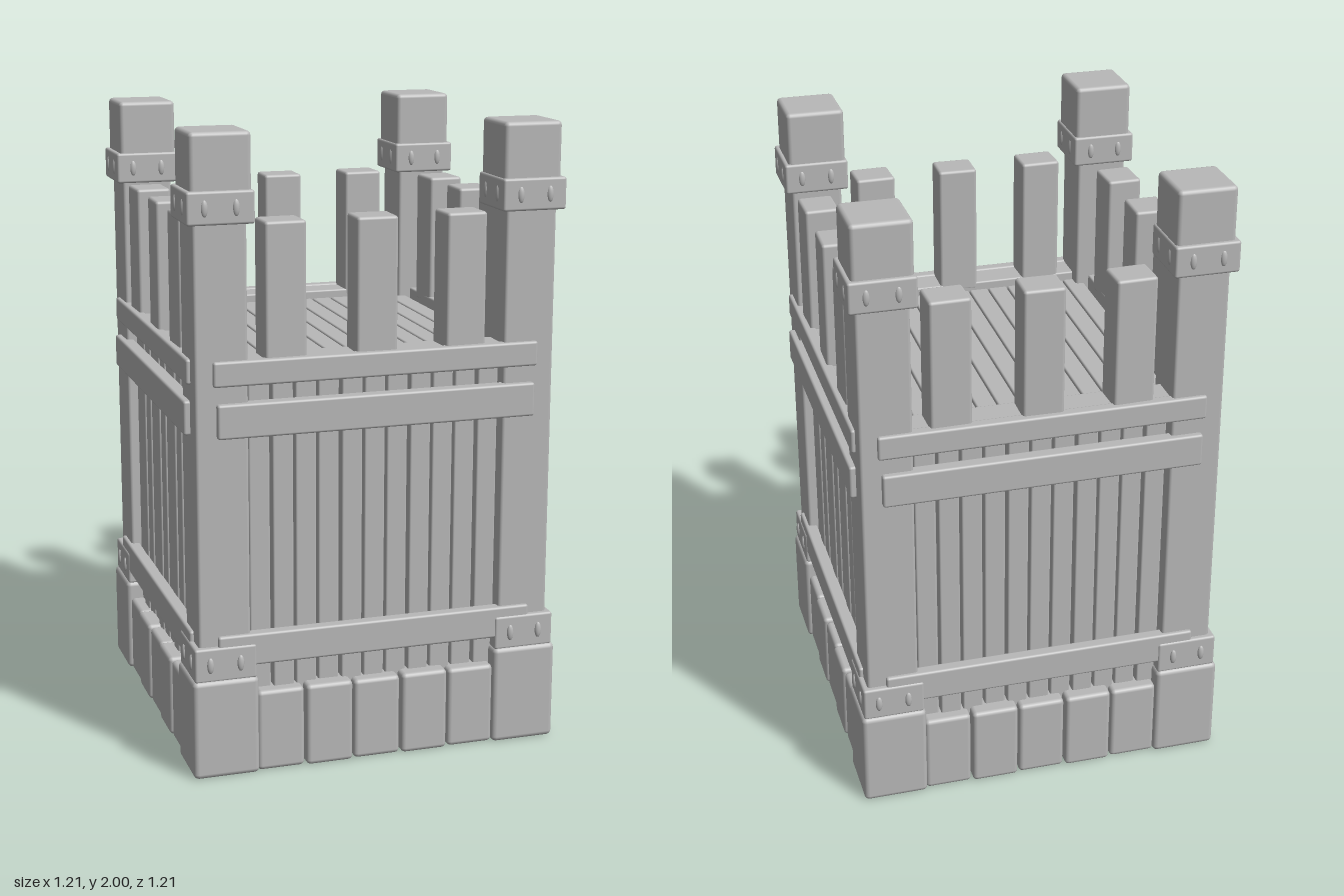
import * as THREE from 'three';
import { RoundedBoxGeometry } from 'three/addons/geometries/RoundedBoxGeometry.js';

const grey = new THREE.MeshStandardMaterial({ color: 0xb8b8b8 });
grey.name = 'plain grey';

// Box with softened edges, given by its min/max extents on each axis
function block(parent, name, [x0, x1], [y0, y1], [z0, z1], radius = 0.01) {
  const geo = new RoundedBoxGeometry(x1 - x0, y1 - y0, z1 - z0, 2, radius);
  const mesh = new THREE.Mesh(geo, grey);
  mesh.position.set((x0 + x1) / 2, (y0 + y1) / 2, (z0 + z1) / 2);
  mesh.name = name;
  parent.add(mesh);
  return mesh;
}

function rivet(parent, x, y, z, turn = 0) {
  const mesh = new THREE.Mesh(new THREE.SphereGeometry(1, 12, 8), grey);
  mesh.scale.set(0.011, 0.026, 0.008);
  mesh.position.set(x, y, z);
  mesh.rotation.y = turn;
  mesh.name = 'rivet';
  parent.add(mesh);
}

// One wall, built facing +z
function buildSide() {
  const side = new THREE.Group();
  side.name = 'wall';

  // foundation stones, slightly uneven
  for (let i = 0; i < 5; i++) {
    const x = -0.395 + i * 0.158;
    const out = 0.587 + 0.006 * (i % 2);
    block(side, 'foundationStone', [x + 0.003, x + 0.155], [0, 0.264 + 0.004 * (i % 2)], [0.44, out], 0.014);
  }

  // upright planks
  for (let i = 0; i < 11; i++) {
    const x = -0.407 + i * 0.074;
    const out = 0.543 + 0.006 * ((i * 2) % 3) / 2;
    block(side, 'wallPlank', [x + 0.004, x + 0.07], [0.24, 1.28], [0.505, out], 0.006);
  }

  // cross rails and the walkway rim
  block(side, 'lowerRail', [-0.515, 0.51], [0.355, 0.457], [0.545, 0.588], 0.008);
  block(side, 'middleRail', [-0.51, 0.51], [1.083, 1.19], [0.548, 0.595], 0.008);
  block(side, 'upperRail', [-0.52, 0.52], [1.242, 1.32], [0.548, 0.588], 0.008);
  block(side, 'rim', [-0.43, 0.43], [1.25, 1.315], [0.455, 0.565], 0.006);

  // battlement posts
  [-0.29, 0, 0.285].forEach((x, i) => {
    const post = block(side, 'battlement', [x - 0.065, x + 0.065], [1.29, 1.73], [0.455, 0.568], 0.01);
    post.rotation.y = [0.02, -0.02, 0.03][i];
  });
  return side;
}

// One corner, built in the +x +z quadrant
function buildCorner() {
  const corner = new THREE.Group();
  corner.name = 'corner';
  const span = (y0, y1, a, b, name, r) => block(corner, name, [a, b], [y0, y1], [a, b], r);
  span(0, 0.32, 0.39, 0.6, 'cornerStone', 0.016);
  span(0.28, 1.85, 0.41, 0.575, 'cornerPost', 0.01);
  span(0.315, 0.425, 0.395, 0.592, 'lowerBand', 0.008);
  span(1.73, 1.83, 0.39, 0.597, 'upperBand', 0.008);
  span(1.79, 2, 0.396, 0.584, 'postCap', 0.014);
  // rivets on both outer faces, and on the inner faces of the upper band
  for (const u of [0.447, 0.543]) {
    rivet(corner, u, 0.37, 0.592);
    rivet(corner, 0.592, 0.37, u, Math.PI / 2);
    for (const face of [0.595, 0.392]) {
      rivet(corner, u, 1.78, face);
      rivet(corner, face, 1.78, u, Math.PI / 2);
    }
  }
  return corner;
}

export function createModel() {
  const tower = new THREE.Group();
  tower.name = 'woodenTower';

  // solid middle that closes the gaps between boards and stones
  block(tower, 'baseCore', [-0.54, 0.54], [0.001, 0.24], [-0.54, 0.54], 0.002);
  block(tower, 'wallCore', [-0.51, 0.51], [0.2, 1.255], [-0.51, 0.51], 0.002);

  // walkway floor boards running front to back
  for (let i = 0; i < 13; i++) {
    const x = -0.442 + i * 0.068;
    block(tower, 'floorBoard', [x + 0.002, x + 0.066], [1.24, 1.288], [-0.457, 0.457], 0.006);
  }

  for (let i = 0; i < 4; i++) {
    const side = buildSide();
    const corner = buildCorner();
    side.rotation.y = corner.rotation.y = i * Math.PI / 2;
    tower.add(side, corner);
  }
  return tower;
}
